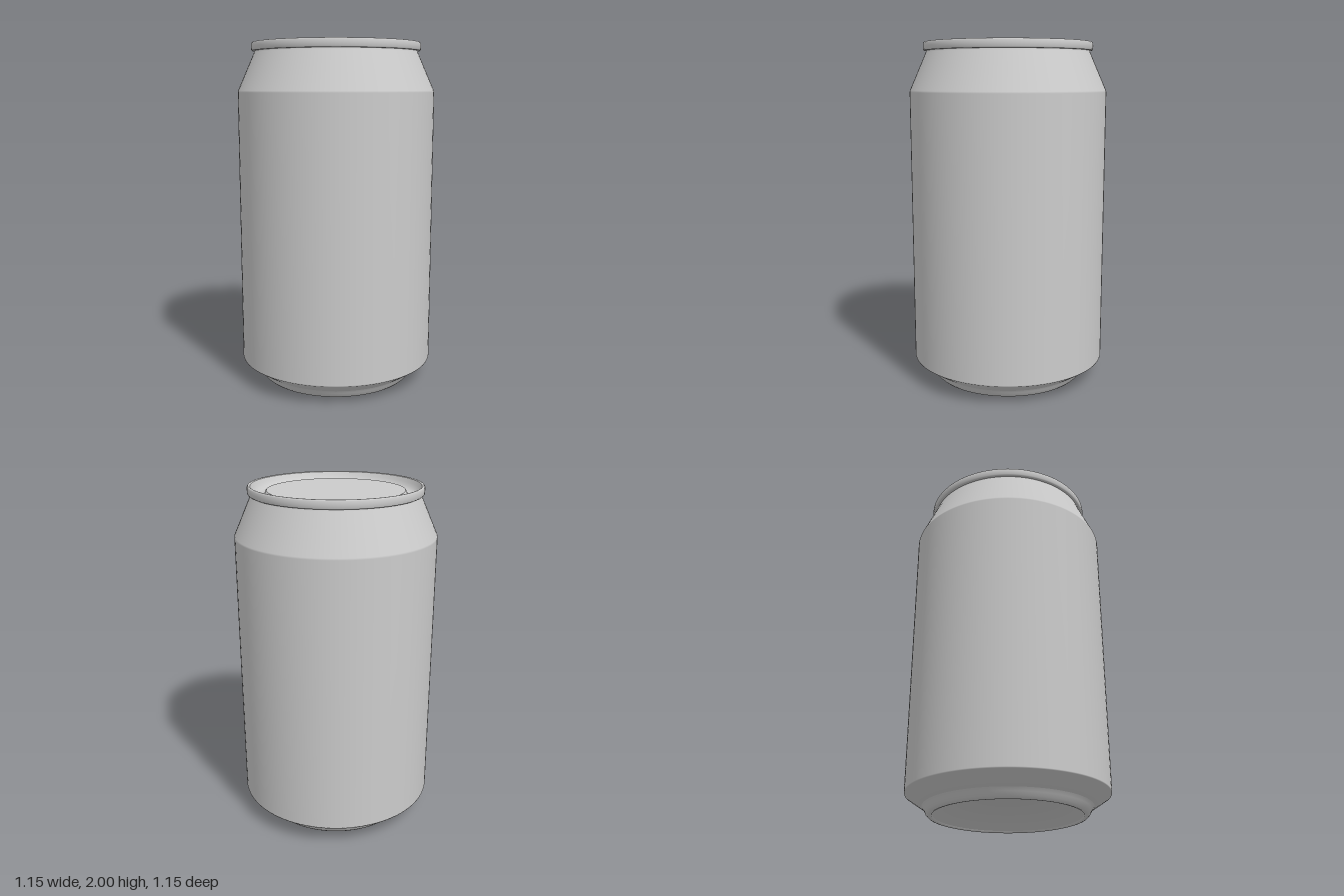
import * as THREE from 'three';

const SEGMENTS = 96;
const material = new THREE.MeshStandardMaterial({ color: 0xcccccc, side: THREE.DoubleSide });

// Revolve a profile of [radius, height] pairs around the y axis.
// Profiles run from the base centre, up the outside and in to the lid centre.
function revolve(name, profile) {
  const points = profile.map(([r, y]) => new THREE.Vector2(r, y));
  const mesh = new THREE.Mesh(new THREE.LatheGeometry(points, SEGMENTS), material);
  mesh.name = name;
  return mesh;
}

// Spherical cap profile from its apex out to its edge
function domeProfile(radius, edgeY, height, steps) {
  const R = (radius * radius + height * height) / (2 * height);
  const maxAngle = Math.asin(radius / R);
  const profile = [];
  for (let i = 0; i <= steps; i++) {
    const a = (maxAngle * i) / steps;
    profile.push([R * Math.sin(a), edgeY + height - R * (1 - Math.cos(a))]);
  }
  return profile;
}

export function createModel() {
  const can = new THREE.Group();
  can.name = 'drinkCan';

  // Concave underside
  can.add(revolve('baseDome', domeProfile(0.415, 0.01, 0.13, 12)));

  // Standing ring under the can
  can.add(revolve('baseRing', [
    [0.415, 0.01], [0.42, 0.002], [0.43, 0], [0.44, 0.003],
    [0.453, 0.015], [0.462, 0.034], [0.475, 0.052],
  ]));

  // Lower taper, straight wall and shoulder in one smooth skin
  can.add(revolve('body', [
    [0.475, 0.052], [0.573, 0.118], [0.575, 0.125],
    [0.575, 1.715], [0.573, 1.725], [0.478, 1.94], [0.476, 1.95],
  ]));

  // Rolled rim
  can.add(revolve('rim', [
    [0.476, 1.95], [0.488, 1.951], [0.493, 1.957], [0.494, 1.975],
    [0.493, 1.992], [0.488, 1.999], [0.482, 2], [0.476, 1.996],
  ]));

  // Sloping inner wall and rounded groove around the lid
  can.add(revolve('lidGroove', [
    [0.476, 1.996], [0.466, 1.975], [0.454, 1.958], [0.44, 1.948],
    [0.425, 1.944], [0.41, 1.945], [0.398, 1.95],
  ]));

  // Raised flat lid panel
  can.add(revolve('lidStep', [[0.398, 1.95], [0.394, 1.963], [0.387, 1.97]]));
  can.add(revolve('lidPanel', [[0.387, 1.97], [0, 1.97]]));

  return can;
}
